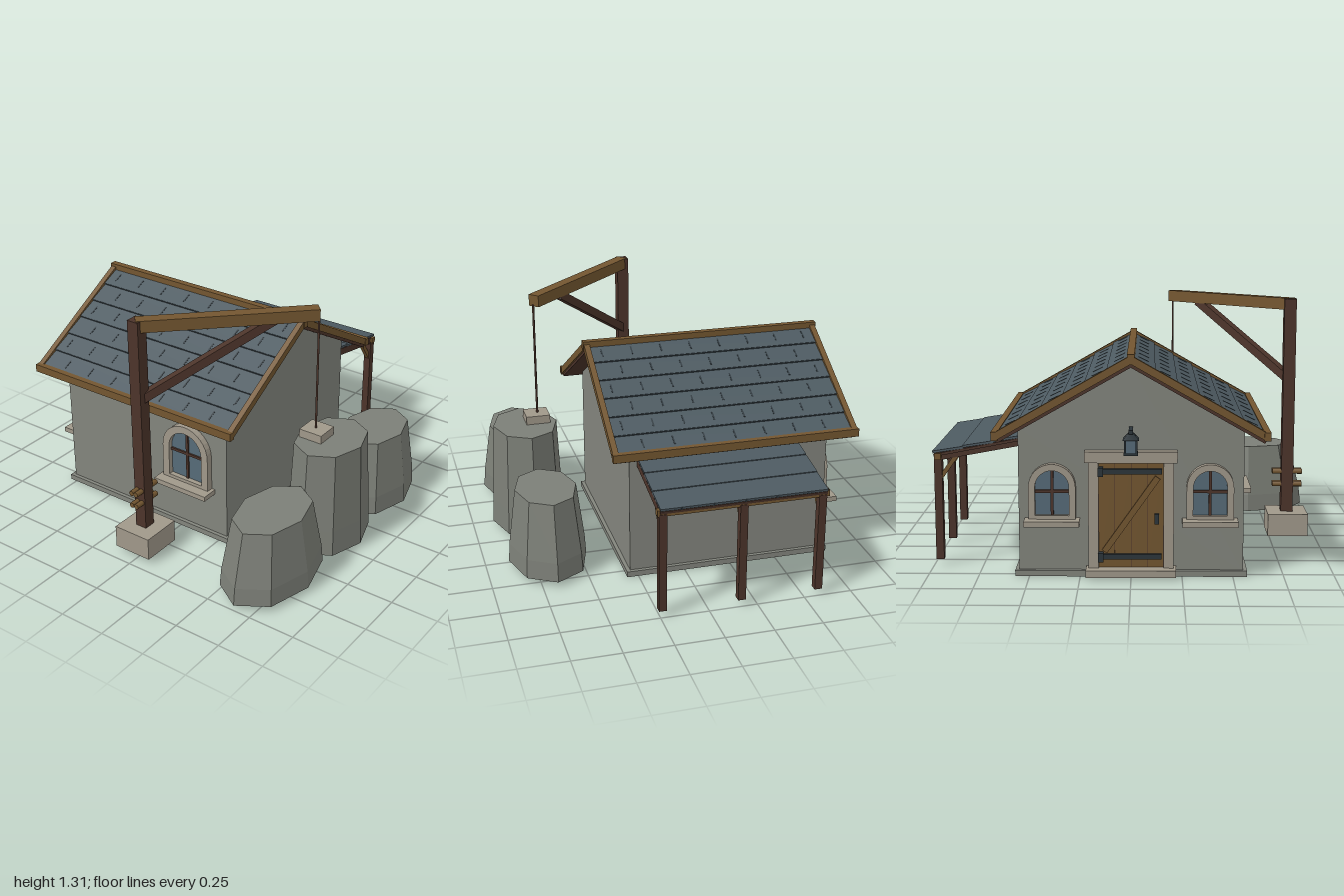
import * as THREE from 'three';

const mat = (name, color) => {
  const m = new THREE.MeshStandardMaterial({ color });
  m.name = name;
  return m;
};
const M = {
  wall: mat('plaster grey', 0x83857d),
  rock: mat('rock grey', 0x7c7f77),
  slate: mat('slate', 0x4d5a61),
  joint: mat('slate joint', 0x343e44),
  wood: mat('oak', 0x735630),
  dark: mat('dark timber', 0x4c342a),
  stone: mat('pale stone', 0xa0988a),
  glass: mat('window glass', 0x566b78),
  iron: mat('iron', 0x2c353a),
};

function add(parent, name, geo, material, x = 0, y = 0, z = 0) {
  const m = new THREE.Mesh(geo, material);
  m.name = name;
  m.position.set(x, y, z);
  parent.add(m);
  return m;
}
// box given by its min and max on each axis
function box(parent, name, material, x0, x1, y0, y1, z0, z1) {
  return add(parent, name, new THREE.BoxGeometry(x1 - x0, y1 - y0, z1 - z0), material,
    (x0 + x1) / 2, (y0 + y1) / 2, (z0 + z1) / 2);
}
// square bar between two points
function bar(parent, name, material, a, b, w, h = w) {
  const p = new THREE.Vector3(...a), q = new THREE.Vector3(...b);
  const m = add(parent, name, new THREE.BoxGeometry(w, h, p.distanceTo(q)), material);
  m.position.copy(p).lerp(q, 0.5);
  m.quaternion.setFromRotationMatrix(new THREE.Matrix4().lookAt(q, p, new THREE.Vector3(0, 1, 0)));
  return m;
}
function group(parent, name, x = 0, y = 0, z = 0, ry = 0) {
  const g = new THREE.Group();
  g.name = name;
  g.position.set(x, y, z);
  g.rotation.y = ry;
  parent.add(g);
  return g;
}
// round-headed outline: straight sides up to `spring`, then a half circle
function arch(r, y0, spring, Type = THREE.Shape) {
  const s = new Type();
  s.moveTo(-r, y0);
  s.lineTo(r, y0);
  s.lineTo(r, spring);
  s.absarc(0, spring, r, 0, Math.PI, false);
  s.lineTo(-r, y0);
  return s;
}
const extrude = (shape, depth) =>
  new THREE.ExtrudeGeometry(shape, { depth, bevelEnabled: false, curveSegments: 8 });

function archedWindow(parent, name, x, z, ry, r, y0, spring) {
  const g = group(parent, name, x, 0, z, ry), ri = r * 0.72;
  const frame = arch(r, y0, spring);
  frame.holes.push(arch(ri, y0 + 0.02, spring, THREE.Path));
  add(g, 'windowFrame', extrude(frame, 0.036), M.stone);
  add(g, 'windowPane', extrude(arch(ri, y0 + 0.02, spring), 0.009), M.glass);
  box(g, 'windowMullion', M.dark, -0.007, 0.007, y0 + 0.02, spring + ri, 0.005, 0.018);
  box(g, 'windowTransom', M.dark, -ri, ri, spring - 0.03, spring - 0.016, 0.005, 0.018);
  box(g, 'windowSill', M.stone, -r - 0.02, r + 0.02, y0 - 0.025, y0 + 0.002, 0, 0.09);
}

function door(parent) {
  const g = group(parent, 'door', 0, 0, -0.77, Math.PI);
  box(g, 'doorStep', M.stone, -0.22, 0.22, 0.015, 0.05, 0, 0.095);
  box(g, 'doorLintel', M.stone, -0.225, 0.225, 0.575, 0.63, 0, 0.055);
  for (const s of [-1, 1]) {
    add(g, 'doorJamb', new THREE.BoxGeometry(0.05, 0.525, 0.045), M.stone, s * 0.183, 0.3125, 0.0225);
  }
  for (let i = 0; i < 4; i++) {
    const x = -0.158 + i * 0.079;
    box(g, 'doorPlank', M.wood, x + 0.001, x + 0.078, 0.05, 0.575, 0, 0.025);
  }
  box(g, 'doorGap', M.dark, -0.158, 0.158, 0.05, 0.575, 0, 0.022);
  bar(g, 'doorBrace', M.wood, [-0.13, 0.13, 0.03], [0.13, 0.5, 0.03], 0.03, 0.012).rotation.set(0, 0, 0);
  const brace = g.children[g.children.length - 1];
  brace.geometry = new THREE.BoxGeometry(0.03, 0.452, 0.012);
  brace.rotation.z = -Math.atan2(0.26, 0.37);
  for (const y of [0.105, 0.53]) {
    box(g, 'hingeStrap', M.iron, -0.15, 0.15, y - 0.013, y + 0.013, 0.02, 0.04);
    box(g, 'hingeKnuckle', M.iron, -0.16, -0.135, y - 0.022, y + 0.022, 0.02, 0.06);
  }
  box(g, 'doorHandle', M.iron, 0.115, 0.135, 0.27, 0.32, 0.02, 0.045);

  // lantern over the door
  const l = group(g, 'lantern', 0, 0.62, 0.07);
  box(l, 'lanternBase', M.iron, -0.034, 0.034, 0, 0.012, -0.034, 0.034);
  box(l, 'lanternGlass', M.glass, -0.025, 0.025, 0.012, 0.075, -0.025, 0.025);
  for (const x of [-0.027, 0.027]) for (const z of [-0.027, 0.027]) {
    add(l, 'lanternPost', new THREE.BoxGeometry(0.01, 0.065, 0.01), M.iron, x, 0.043, z);
  }
  add(l, 'lanternCap', new THREE.CylinderGeometry(0.02, 0.055, 0.03, 4).rotateY(Math.PI / 4), M.iron, 0, 0.09, 0);
  box(l, 'lanternBracket', M.iron, -0.01, 0.01, 0.105, 0.125, -0.07, 0.04);
}

function mainRoof(parent) {
  const roof = group(parent, 'mainRoof', 0, 1.075, -0.25);
  const a = Math.atan2(0.37, 0.65), L = 0.748, D = 1.29, rows = 6, step = 0.122;
  for (const s of [0, 1]) {
    const slope = group(group(roof, 'roofSide', 0, 0, 0, s * Math.PI), 'roofSlope');
    slope.rotation.z = -a;
    box(slope, 'roofBoards', M.dark, 0, L, -0.025, 0, -D / 2 + 0.01, D / 2 - 0.01);
    for (const e of [-1, 1]) {
      add(slope, 'bargeBoard', new THREE.BoxGeometry(L, 0.036, 0.03), M.wood, L / 2, 0.008, e * (D / 2 - 0.015));
    }
    // overlapping slate courses, lower edge lifted
    for (let i = 0; i < rows; i++) {
      const course = group(slope, 'slateCourse', (i + 0.5) * step, 0.008, 0);
      course.rotation.z = 0.07;
      add(course, 'slates', new THREE.BoxGeometry(step + 0.004, 0.014, D - 0.06), M.slate);
      add(course, 'courseEdge', new THREE.BoxGeometry(0.004, 0.013, D - 0.06), M.joint, step / 2 + 0.001, -0.002);
      for (let z = -0.56 + (i % 2) * 0.08; z < 0.6; z += 0.16) {
        add(course, 'slateJoint', new THREE.BoxGeometry(0.055, 0.004, 0.008), M.joint, 0, 0.0065, z);
      }
    }
  }
  for (const s of [-1, 1]) {
    add(roof, 'eaveBeam', new THREE.BoxGeometry(0.032, 0.042, D + 0.006), M.wood, s * 0.65, -0.357, 0);
  }
  add(roof, 'ridgeBeam', new THREE.BoxGeometry(0.036, 0.05, D + 0.01), M.wood, 0, 0.01, 0);
}

function leanTo(parent) {
  const g = group(parent, 'leanTo');
  const slope = group(g, 'leanToRoof', 0.54, 0.667, -0.175);
  slope.rotation.z = -Math.atan2(0.087, 0.46);
  box(slope, 'leanToBoards', M.dark, 0, 0.462, -0.022, -0.008, -0.425, 0.425);
  for (let i = 0; i < 3; i++) {
    const c = add(slope, 'leanToSlates', new THREE.BoxGeometry(0.157, 0.012, 0.85), M.slate, 0.078 + i * 0.154, 0, 0);
    c.rotation.z = 0.03;
    for (let z = -0.32 + (i % 2) * 0.08; z < 0.42; z += 0.16) {
      box(slope, 'leanToJoint', M.joint, 0.155 + i * 0.154, 0.158 + i * 0.154, -0.006, 0.006, z - 0.004, z + 0.004);
    }
  }
  box(g, 'leanToBeam', M.wood, 0.953, 0.987, 0.545, 0.578, -0.612, 0.262);
  for (const z of [0.235, -0.172, -0.578]) {
    box(g, 'leanToPost', M.dark, 0.95, 0.99, 0.03, 0.555, z - 0.02, z + 0.02);
    bar(g, 'leanToRafter', M.dark, [0.55, 0.632, z], [0.98, 0.553, z], 0.03);
    bar(g, 'leanToBrace', M.wood, [0.96, 0.45, z], [0.86, 0.59, z], 0.022);
  }
}

function crane(parent) {
  const g = group(parent, 'crane'), X = -0.84, Z = -0.02;
  box(g, 'craneFooting', M.stone, X - 0.108, X + 0.108, 0.03, 0.15, Z - 0.107, Z + 0.107);
  box(g, 'cranePost', M.dark, X - 0.032, X + 0.032, 0.15, 1.31, Z - 0.032, Z + 0.032);
  bar(g, 'craneArm', M.wood, [X - 0.005, 1.282, Z - 0.005], [-0.222, 1.282, 0.612], 0.062, 0.062);
  bar(g, 'craneBrace', M.dark, [X, 0.88, Z], [-0.37, 1.262, 0.45], 0.045);
  for (const y of [0.3, 0.37]) for (const z of [-0.035, 0.035]) {
    const peg = add(g, 'cleatPeg', new THREE.CylinderGeometry(0.014, 0.014, 0.16, 8), M.wood, X, y, Z + z * 0.4);
    peg.rotation.z = Math.PI / 2;
  }
  add(g, 'rope', new THREE.CylinderGeometry(0.006, 0.006, 0.62, 6), M.dark, -0.225, 0.95, 0.615);
  box(g, 'hoistedBlock', M.stone, -0.286, -0.164, 0.6, 0.645, 0.555, 0.685);
}

// eight-sided boulder: short upright foot, then tapering to a flat top
function boulder(parent, x, z, rx, rz, top, taper) {
  const h = top - 0.03;
  const profile = [[0, 0], [1, 0], [0.97, h * 0.25], [taper, h], [0, h]].map(p => new THREE.Vector2(...p));
  const geo = new THREE.LatheGeometry(profile, 8).toNonIndexed();
  geo.computeVertexNormals();
  geo.scale(rx, 1, rz);
  geo.computeVertexNormals();
  add(parent, 'boulder', geo, M.rock, x, 0.03, z);
}

export function createModel() {
  const root = new THREE.Group();
  root.name = 'cottageWithHoist';

  // house body with gables
  box(root, 'plinth', M.wall, -0.57, 0.57, 0, 0.03, -0.79, 0.31);
  const gable = new THREE.Shape(
    [[-0.55, 0.02], [0.55, 0.02], [0.55, 0.737], [0, 1.052], [-0.55, 0.737]].map(p => new THREE.Vector2(...p)));
  add(root, 'walls', extrude(gable, 1.06), M.wall, 0, 0, -0.77);

  mainRoof(root);
  leanTo(root);
  door(root);
  for (const x of [-0.385, 0.385]) archedWindow(root, 'backWindow', x, -0.77, Math.PI, 0.115, 0.29, 0.45);
  archedWindow(root, 'sideWindow', -0.55, 0.05, -Math.PI / 2, 0.145, 0.29, 0.48);
  crane(root);

  boulder(root, -0.67, 0.657, 0.33, 0.217, 0.405, 0.77);
  boulder(root, -0.195, 0.69, 0.257, 0.2, 0.6, 0.87);
  boulder(root, 0.287, 0.673, 0.293, 0.207, 0.435, 0.78);
  return root;
}
